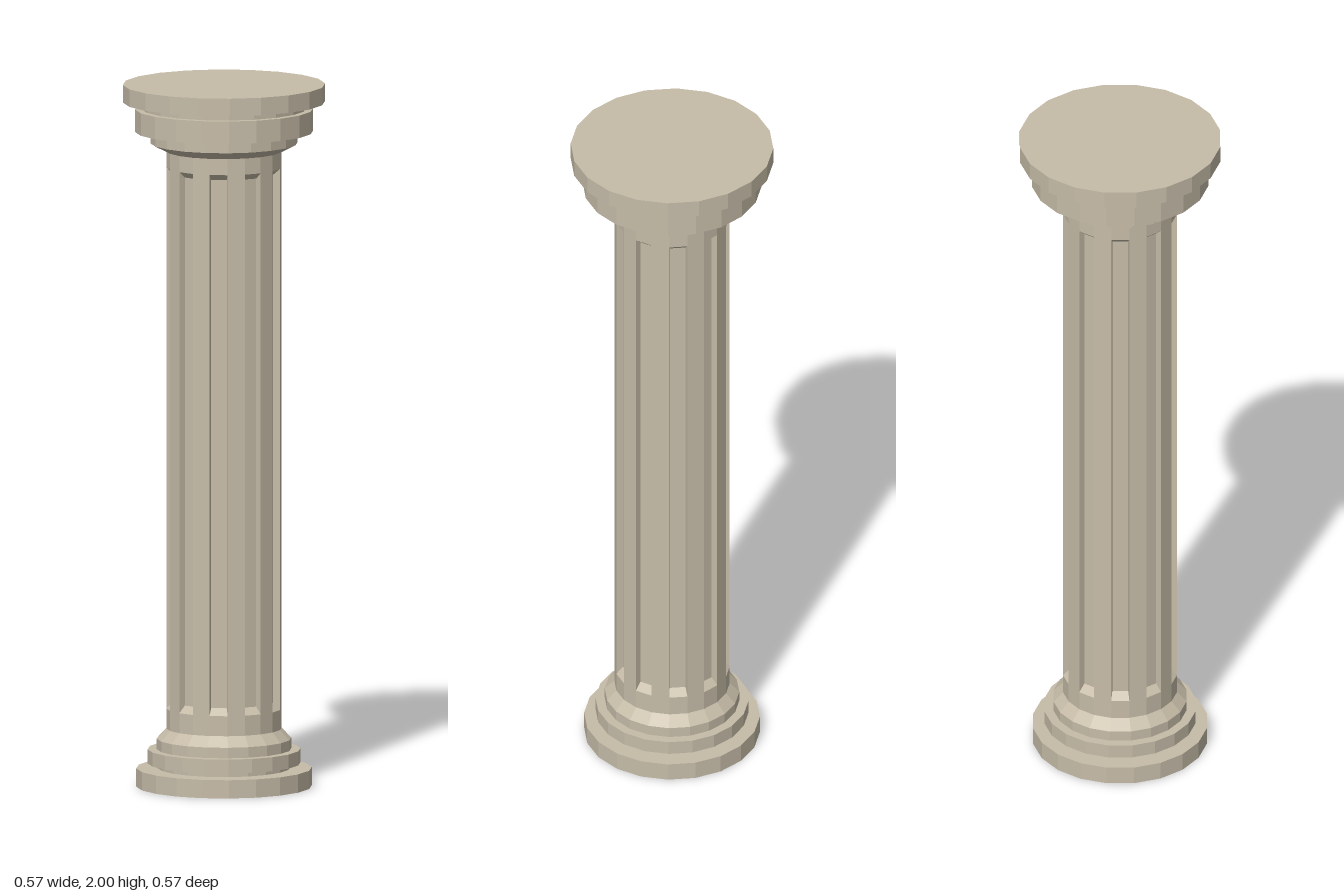
import * as THREE from 'three';

const SIDES = 20;
const stone = new THREE.MeshStandardMaterial({ color: 0xc6bca8, flatShading: true });

function addMesh(group, name, geometry) {
  const mesh = new THREE.Mesh(geometry, stone);
  mesh.name = name;
  group.add(mesh);
}

// Turned moulding from [radius, y] pairs, listed bottom to top
function turned(profile) {
  const points = profile.map(([r, y]) => new THREE.Vector2(r, y));
  const geometry = new THREE.LatheGeometry(points, SIDES).toNonIndexed();
  geometry.computeVertexNormals();
  return geometry;
}

// Faceted shaft: every other face is sunk between the two sloped flute ends
function flutedShaft(radius, depth, levels) {
  const ring = ([y, sunk]) => {
    const points = [];
    const put = (i, r) => {
      const a = (i / SIDES) * Math.PI * 2;
      points.push(new THREE.Vector3(Math.sin(a) * r, y, Math.cos(a) * r));
    };
    for (let i = 0; i < SIDES; i += 2) {
      const inner = sunk ? radius - depth : radius;
      put(i, radius);
      put(i, inner);
      put(i + 1, inner);
      put(i + 1, radius);
    }
    return points;
  };
  const rings = levels.map(ring);
  const positions = [];
  const triangle = (a, b, c) => {
    if (new THREE.Triangle(a, b, c).getArea() < 1e-8) return;
    for (const p of [a, b, c]) positions.push(p.x, p.y, p.z);
  };
  for (let k = 0; k < rings.length - 1; k++) {
    const low = rings[k], high = rings[k + 1];
    for (let i = 0; i < low.length; i++) {
      const j = (i + 1) % low.length;
      triangle(low[i], low[j], high[j]);
      triangle(low[i], high[j], high[i]);
    }
  }
  const geometry = new THREE.BufferGeometry();
  geometry.setAttribute('position', new THREE.Float32BufferAttribute(positions, 3));
  geometry.computeVertexNormals();
  return geometry;
}

export function createModel() {
  const column = new THREE.Group();
  column.name = 'column';

  // Base: round plinth, then stepped rings narrowing to the shaft
  const base = new THREE.Group();
  base.name = 'base';
  addMesh(base, 'plinth', turned([[0, 0], [0.248, 0], [0.248, 0.052], [0.185, 0.052]]));
  addMesh(base, 'baseRings', turned([
    [0.187, 0.052], [0.187, 0.066], [0.216, 0.066], [0.216, 0.106],
    [0.19, 0.106], [0.19, 0.136], [0.163, 0.165],
  ]));
  column.add(base);

  // Shaft with ten flutes
  addMesh(column, 'flutedShaft', flutedShaft(0.163, 0.02, [
    [0.165, false], [0.222, false], [0.242, true],
    [1.747, true], [1.764, false], [1.81, false],
  ]));

  // Capital: flared collar, wide ring, narrow neck and top slab
  const capital = new THREE.Group();
  capital.name = 'capital';
  addMesh(capital, 'collarAndRing', turned([
    [0.163, 1.81], [0.208, 1.833], [0.208, 1.866], [0.252, 1.866],
    [0.252, 1.93], [0.232, 1.93], [0.232, 1.95],
  ]));
  addMesh(capital, 'topSlab', turned([[0.23, 1.95], [0.286, 1.95], [0.286, 2], [0, 2]]));
  column.add(capital);

  return column;
}
